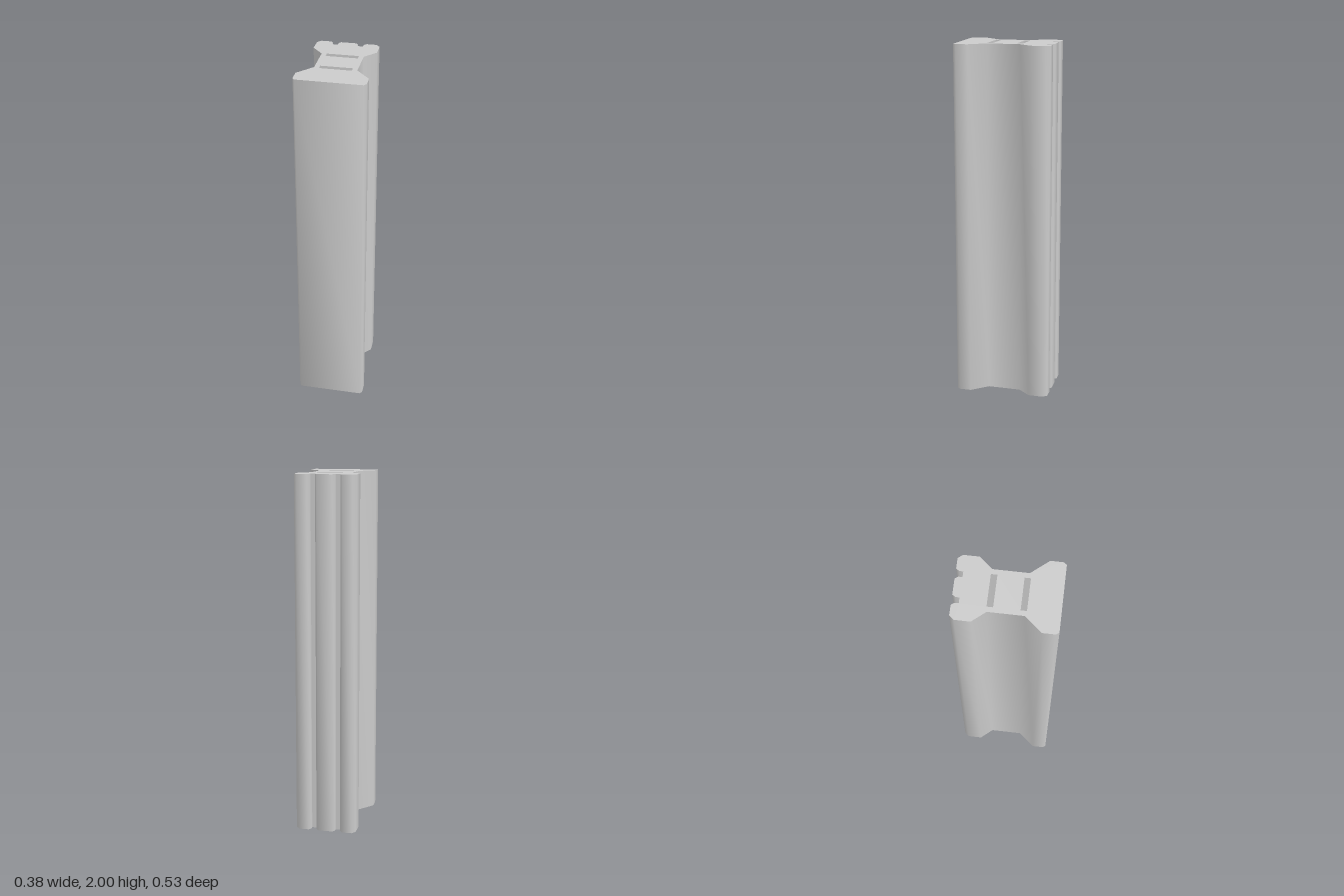
import * as THREE from 'three';
import { toCreasedNormals } from 'three/addons/utils/BufferGeometryUtils.js';

const HEIGHT = 2;

// Right half of the plan outline as [x, z], from front to back
const HALF = [
  [0.178, 0.265], [0.19, 0.248], [0.19, 0.183], [0.113, 0.092],      // wide front flange
  [0.113, -0.091], [0.172, -0.16], [0.172, -0.242], [0.152, -0.266], // waist and back flange
  [0.097, -0.266], [0.084, -0.25], [0.084, -0.229],                  // groove in the back
  [0.054, -0.229], [0.054, -0.25], [0.042, -0.266],
];

// Rectangular slots through the full height: [zMin, zMax]
const SLOTS = [[-0.095, -0.063], [0.069, 0.1]];
const SLOT_HALF_WIDTH = 0.086;

// Plan points to shape points (shape y is -z)
const toShape = (points) => points.map(([x, z]) => new THREE.Vector2(x, -z));

export function createModel() {
  const group = new THREE.Group();
  group.name = 'slottedColumn';

  // Mirrored outline with the two slots cut out
  const mirrored = HALF.map(([x, z]) => [-x, z]).reverse();
  const shape = new THREE.Shape(toShape([...HALF, ...mirrored]));
  for (const [z0, z1] of SLOTS) {
    const w = SLOT_HALF_WIDTH;
    shape.holes.push(new THREE.Path(toShape([[-w, z0], [w, z0], [w, z1], [-w, z1]])));
  }

  // Extrude upwards; soften the chamfers, keep square corners sharp
  const extruded = new THREE.ExtrudeGeometry(shape, { depth: HEIGHT, bevelEnabled: false });
  extruded.rotateX(-Math.PI / 2);
  const geometry = toCreasedNormals(extruded, THREE.MathUtils.degToRad(60));

  const column = new THREE.Mesh(geometry, new THREE.MeshStandardMaterial({ color: 0xcccccc }));
  column.name = 'column';
  group.add(column);
  return group;
}
